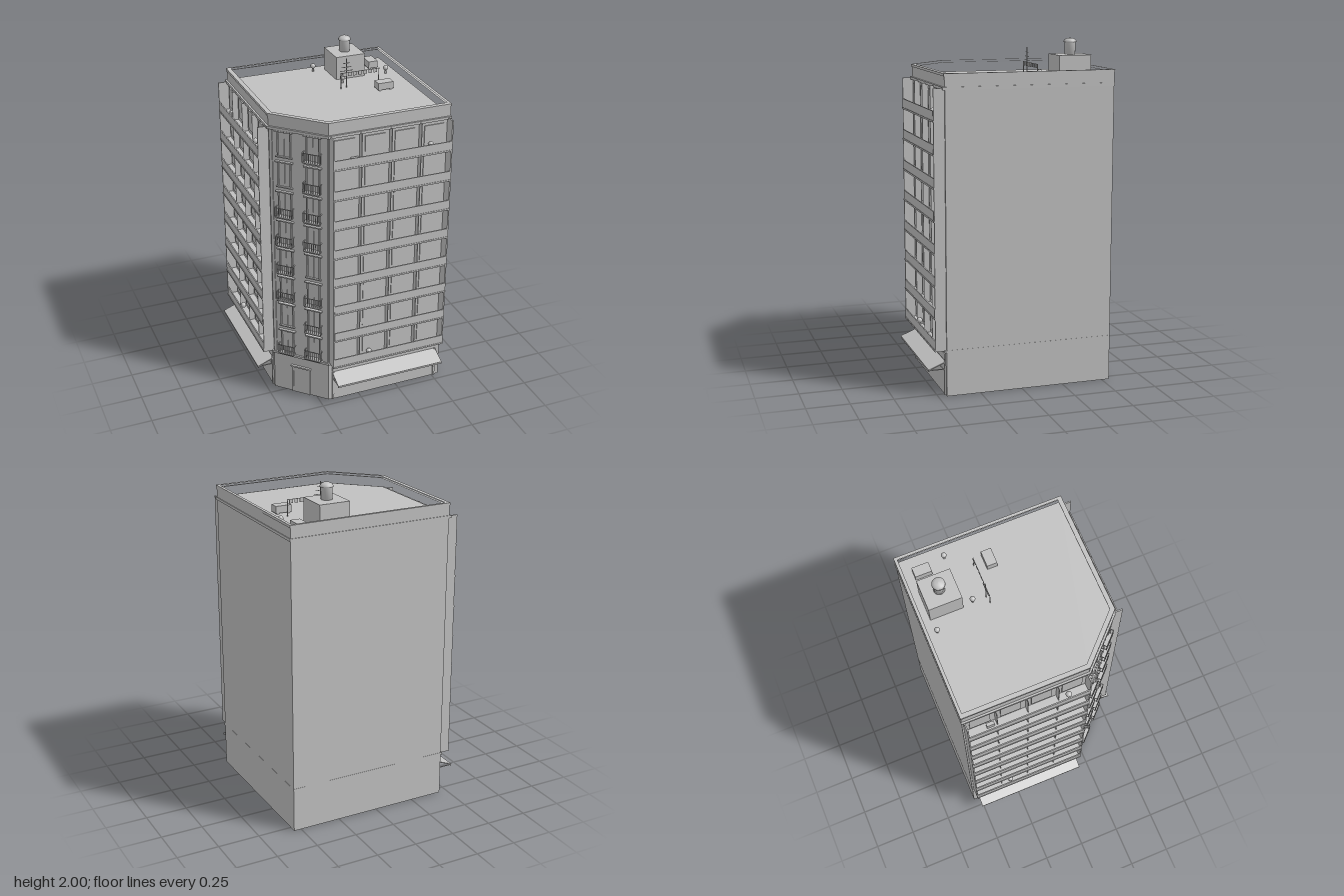
import * as THREE from 'three';

const grey = new THREE.MeshStandardMaterial({ color: 0xc0c0c0 });
grey.name = 'pale grey concrete';

const FLOORS = 8, BASE = 0.265, PITCH = 0.1863, TOP = 1.755;

function add(parent, name, geo, x = 0, y = 0, z = 0) {
  const m = new THREE.Mesh(geo, grey);
  m.name = name;
  m.position.set(x, y, z);
  parent.add(m);
  return m;
}

// Box given by its lowest y, centred in x and z
function box(parent, name, w, h, d, x, y, z) {
  return add(parent, name, new THREE.BoxGeometry(w, h, d), x, y + h / 2, z);
}

// Square plan with one cut corner; street sides move out by d, blind sides by e
function plan(d, e) {
  const k = d * 0.414;
  return [
    [-0.45 - d, -0.545 - e], [0.545 + e, -0.545 - e], [0.545 + e, 0.45 + d],
    [-0.195 - k, 0.45 + d], [-0.45 - d, 0.195 + k],
  ].map(([x, z]) => new THREE.Vector2(x, -z));
}

// Upright prism on the plan, optionally hollow
function prism(parent, name, y, h, outer, inner) {
  const shape = new THREE.Shape(outer);
  if (inner) shape.holes.push(new THREE.Path(inner));
  const geo = new THREE.ExtrudeGeometry(shape, { depth: h, bevelEnabled: false });
  geo.rotateX(-Math.PI / 2);
  return add(parent, name, geo, 0, y, 0);
}

// Street side: stacked galleries above a shopfront with awning, wall at z = 0
function facade(name) {
  const g = new THREE.Group();
  g.name = name;
  const W = 0.725, D = 0.067;
  for (const s of [-1, 1]) {
    box(g, 'galleryEndWall', 0.008, TOP - BASE, D - 0.003, s * (W / 2 - 0.004), BASE, D / 2 - 0.002);
  }
  for (let i = 0; i < FLOORS; i++) {
    const y = BASE + i * PITCH;
    box(g, 'gallerySlab', W, 0.01, D, 0, y, D / 2);
    box(g, 'galleryParapet', W - 0.016, 0.052, 0.007, 0, y + 0.01, D - 0.006);
    for (const t of [-0.25, 0, 0.25]) {
      box(g, 'galleryPartition', 0.004, PITCH - 0.012, 0.035, t * W, y + 0.01, 0.0175);
    }
    // Window panels between the partitions
    for (const t of [-0.375, -0.125, 0.125, 0.375]) {
      box(g, 'windowPanel', 0.12, 0.12, 0.006, t * W, y + 0.035, 0.003);
    }
  }
  // Loose objects on the galleries
  box(g, 'airUnit', 0.045, 0.035, 0.02, -0.22, BASE + 7 * PITCH + 0.012, 0.025);
  for (const [x, f] of [[0.24, 7], [-0.12, 0]]) {
    add(g, 'plantBall', new THREE.SphereGeometry(0.018, 12, 8), x, BASE + f * PITCH + 0.05, 0.035);
  }
  // Shopfront
  box(g, 'shopPanel', 0.66, 0.14, 0.004, 0, 0, 0.002);
  for (const s of [-1, 1]) box(g, 'shopPost', 0.012, 0.2, 0.008, s * 0.34, 0, 0.004);
  box(g, 'shopSign', 0.69, 0.04, 0.006, 0, 0.205, 0.003);
  // Awning
  const awning = add(g, 'awning', new THREE.BoxGeometry(0.69, 0.005, 0.108), 0, 0.175, 0.05);
  awning.rotation.x = Math.atan2(0.04, 0.1);
  box(g, 'awningLip', 0.69, 0.012, 0.004, 0, 0.145, 0.098);
  for (const s of [-1, 1]) box(g, 'awningArm', 0.005, 0.005, 0.098, s * 0.34, 0.15, 0.05);
  return g;
}

// Cut corner: windows and small railed balconies, wall at z = 0
function corner() {
  const g = new THREE.Group();
  g.name = 'cutCorner';
  const railed = [[1, 1], [0, 1], [1, 1], [1, 0], [1, 1], [1, 1], [0, 1], [0, 1]];
  for (const s of [-1, 1]) box(g, 'cornerPilaster', 0.018, TOP - BASE, 0.006, s * 0.168, BASE, 0.003);
  railed.forEach((row, i) => row.forEach((hasRail, c) => {
    const x = c ? 0.087 : -0.087, y = BASE + i * PITCH;
    box(g, 'windowLintel', 0.108, 0.008, 0.016, x, y + 0.168, 0.008);
    for (const s of [-1, 1]) box(g, 'windowJamb', 0.008, 0.15, 0.008, x + s * 0.038, y + 0.018, 0.004);
    box(g, 'windowMullion', 0.004, 0.15, 0.005, x, y + 0.018, 0.0025);
    box(g, 'windowSill', 0.1, 0.007, hasRail ? 0.032 : 0.012, x, y + 0.012, hasRail ? 0.016 : 0.006);
    if (!hasRail) return;
    // Balcony railing
    box(g, 'balconyTopRail', 0.108, 0.004, 0.004, x, y + 0.072, 0.03);
    for (let k = 0; k <= 8; k++) {
      box(g, 'balconyBaluster', 0.003, 0.055, 0.003, x - 0.052 + k * 0.013, y + 0.018, 0.03);
    }
    for (const s of [-1, 1]) {
      box(g, 'balconySideRail', 0.004, 0.004, 0.03, x + s * 0.052, y + 0.072, 0.015);
      box(g, 'balconyBaluster', 0.003, 0.055, 0.003, x + s * 0.052, y + 0.018, 0.015);
    }
  }));
  // Street door
  box(g, 'door', 0.1, 0.18, 0.004, 0, 0, 0.002);
  for (const s of [-1, 1]) box(g, 'doorJamb', 0.01, 0.19, 0.008, s * 0.055, 0, 0.004);
  box(g, 'doorLintel', 0.13, 0.01, 0.014, 0, 0.185, 0.007);
  return g;
}

function roofEquipment() {
  const g = new THREE.Group();
  g.name = 'roofEquipment';
  const R = 1.764;
  // Stair house and domed tank
  box(g, 'stairHouse', 0.185, 1.905 - R, 0.195, 0.247, R, -0.388);
  const profile = [[0, 1.9], [0.032, 1.9], [0.032, 1.975], [0.038, 1.975], [0.037, 1.983],
    [0.03, 1.992], [0.018, 1.998], [0, 2]].map(([r, y]) => new THREE.Vector2(r, y));
  add(g, 'waterTank', new THREE.LatheGeometry(profile, 24), 0.247, 0, -0.388);
  // Vents
  for (const [x, z] of [[0.075, -0.475], [0.17, -0.23], [0.475, -0.28]]) {
    add(g, 'ventPipe', new THREE.CylinderGeometry(0.007, 0.007, 0.03, 8), x, R + 0.015, z);
    add(g, 'ventCap', new THREE.SphereGeometry(0.016, 12, 8), x, R + 0.035, z);
  }
  // Cooling units
  for (const [x, z, w, d] of [[0.435, -0.425, 0.06, 0.098], [0.362, -0.055, 0.097, 0.06]]) {
    box(g, 'coolingUnit', w, 0.042, d, x, R + 0.006, z);
    for (const s of [-1, 1]) box(g, 'coolingUnitFoot', w * 0.15, 0.006, d * 0.9, x + s * w * 0.35, R, z);
  }
  // Aerial mast with cross bars
  box(g, 'aerialMast', 0.004, 1.945 - R, 0.004, 0.163, R, -0.153);
  for (const [y, w] of [[1.915, 0.045], [1.89, 0.06], [1.868, 0.08]]) {
    box(g, 'aerialBar', w, 0.003, 0.003, 0.163, y, -0.153);
  }
  // Washing line
  for (const x of [0.125, 0.368]) box(g, 'linePost', 0.004, 1.862 - R, 0.004, x, R, -0.145);
  box(g, 'line', 0.245, 0.003, 0.003, 0.247, 1.858, -0.145);
  for (let i = 0; i < 7; i++) {
    box(g, 'hangingCloth', 0.022, 0.022, 0.002, 0.147 + i * 0.033, 1.837, -0.145);
  }
  return g;
}

export function createModel() {
  const model = new THREE.Group();
  model.name = 'cornerBuilding';

  // Main body, belt course, cornice and roof parapet
  prism(model, 'body', 0, 1.764, plan(0, 0));
  prism(model, 'beltCourse', 0.257, 0.014, plan(0.011, 0.001));
  prism(model, 'cornice', 1.745, 0.016, plan(0.014, 0.004));
  prism(model, 'roofParapet', 1.76, 0.062, plan(0.003, 0), plan(-0.018, -0.013));
  prism(model, 'parapetCap', 1.82, 0.015, plan(0.007, 0.003), plan(-0.02, -0.015));

  const front = facade('frontFacade');
  front.position.set(0.1725, 0, 0.45);
  const side = facade('sideFacade');
  side.position.set(-0.45, 0, -0.1725);
  side.rotation.y = -Math.PI / 2;
  const cut = corner();
  cut.position.set(-0.3225, 0, 0.3225);
  cut.rotation.y = -Math.PI / 4;
  model.add(front, side, cut, roofEquipment());
  return model;
}
